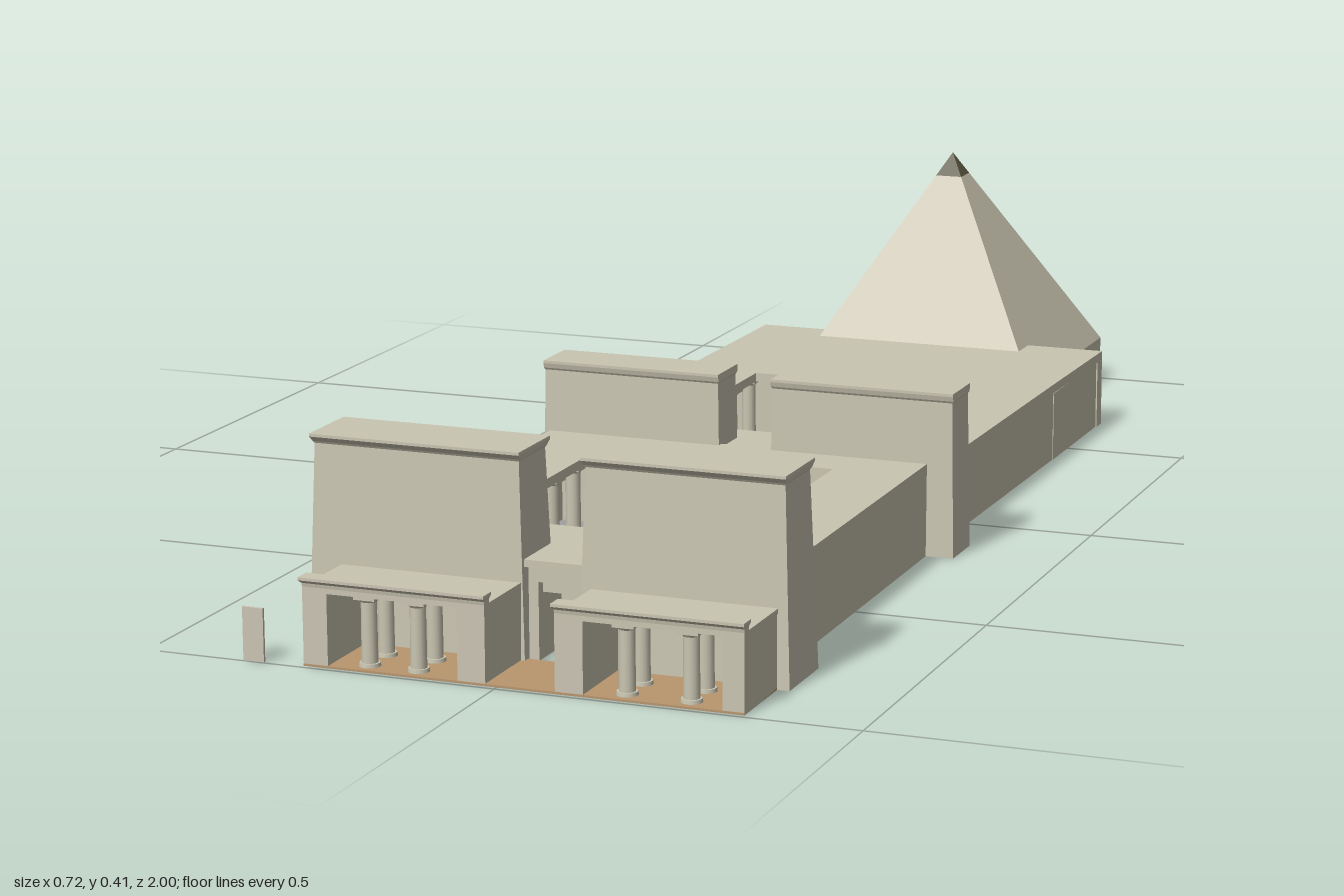
import * as THREE from 'three';

export function createModel() {
  const root = new THREE.Group();
  root.name = 'temple';
  const mat = (name, color) => {
    const m = new THREE.MeshStandardMaterial({ color });
    m.name = name;
    return m;
  };
  const stone = mat('paleStone', 0xcac5b2);
  const grey = mat('courtPaving', 0xa0a0a0);
  const sand = mat('sandPaving', 0xb9966f);
  const dark = mat('capstoneDark', 0x5c5843);

  const add = (name, geo, material = stone, parent = root) => {
    const mesh = new THREE.Mesh(geo, material);
    mesh.name = name;
    parent.add(mesh);
    return mesh;
  };
  const box = (name, x0, x1, y0, y1, z0, z1, material = stone, parent = root) =>
    add(name, new THREE.BoxGeometry(x1 - x0, y1 - y0, z1 - z0)
      .translate((x0 + x1) / 2, (y0 + y1) / 2, (z0 + z1) / 2), material, parent);

  // Flat-faced solid through rectangles [y, x0, x1, z0, z1], bottom to top
  const loft = (rects) => {
    const pos = [], idx = [];
    for (const [y, x0, x1, z0, z1] of rects) pos.push(x0, y, z1, x1, y, z1, x1, y, z0, x0, y, z0);
    for (let r = 0; r < rects.length - 1; r++) {
      for (let i = 0; i < 4; i++) {
        const a = r * 4 + i, b = r * 4 + (i + 1) % 4;
        idx.push(a, b, b + 4, a, b + 4, a + 4);
      }
    }
    const t = (rects.length - 1) * 4;
    idx.push(0, 2, 1, 0, 3, 2, t, t + 1, t + 2, t, t + 2, t + 3);
    const g = new THREE.BufferGeometry();
    g.setAttribute('position', new THREE.Float32BufferAttribute(pos, 3));
    g.setIndex(idx);
    const flat = g.toNonIndexed();
    flat.computeVertexNormals();
    return flat;
  };

  // Upright extrusion of a plan outline of [x, z] points with one hole
  const slab = (outline, hole, y0, y1) => {
    const v = (p) => p.map(([x, z]) => new THREE.Vector2(x, -z));
    const s = new THREE.Shape(v(outline));
    if (hole) s.holes.push(new THREE.Path(v(hole)));
    return new THREE.ExtrudeGeometry(s, { depth: y1 - y0, bevelEnabled: false })
      .rotateX(-Math.PI / 2).translate(0, y0, 0);
  };
  const rect = (x0, x1, z0, z1) => [[x0, z0], [x0, z1], [x1, z1], [x1, z0]];

  // Round column with foot disc, neck ring and square abacus
  const column = (name, x, z, h, parent) => {
    const g = new THREE.Group();
    g.name = name;
    g.position.set(x, 0, z);
    const cyl = (n, r0, r1, y0, y1) =>
      add(n, new THREE.CylinderGeometry(r1, r0, y1 - y0, 16).translate(0, (y0 + y1) / 2, 0), stone, g);
    cyl('foot', 0.015, 0.014, 0, 0.008);
    cyl('shaft', 0.011, 0.0105, 0.008, h - 0.008);
    cyl('neck', 0.011, 0.0145, h - 0.01, h - 0.005);
    box('abacus', -0.015, 0.015, h - 0.006, h, -0.015, 0.015, stone, g);
    parent.add(g);
  };

  // Battered tower with flared cornice
  const pylon = (name, x0, x1, z0, z1, h, b) => add(name, loft([
    [0, x0, x1, z0, z1],
    [h - 0.014, x0 + b, x1 - b, z0 + b, z1 - b],
    [h - 0.011, x0 + b - 0.002, x1 - b + 0.002, z0 + b - 0.002, z1 - b + 0.002],
    [h - 0.004, x0 + b * 0.6, x1 - b * 0.6, z0, z1],
    [h, x0 + b * 0.6, x1 - b * 0.6, z0, z1],
  ]));
  pylon('frontPylonRight', -0.322, -0.01, 0.777, 0.88, 0.282, 0.009);
  pylon('frontPylonLeft', 0.064, 0.357, 0.768, 0.876, 0.282, 0.009);
  pylon('middlePylonRight', -0.283, -0.004, 0.115, 0.193, 0.24, 0.004);
  pylon('middlePylonLeft', 0.072, 0.352, 0.115, 0.193, 0.24, 0.004);

  // Gateways between the towers
  const gate = (name, x0, x1, z0, z1, h) => {
    const g = new THREE.Group();
    g.name = name;
    root.add(g);
    box('jambRight', x0, x0 + 0.014, 0, h - 0.03, z0, z1, stone, g);
    box('jambLeft', x1 - 0.014, x1, 0, h - 0.03, z0, z1, stone, g);
    box('lintel', x0, x1, h - 0.03, h - 0.01, z0, z1, stone, g);
    box('cornice', x0 - 0.004, x1 + 0.004, h - 0.01, h, z0 - 0.005, z1 + 0.005, stone, g);
    box('doorHead', x0 + 0.01, x1 - 0.01, h - 0.047, h - 0.03, z0 + 0.015, z1 - 0.015, stone, g);
  };
  gate('frontGate', -0.01, 0.066, 0.79, 0.865, 0.137);
  gate('middleGate', -0.006, 0.074, 0.125, 0.183, 0.13);

  // Front portico: two halves with columns, roof and parapet
  for (const [side, x0, x1, o0, o1, c0, c1] of [
    ['Right', -0.275, -0.016, -0.24, -0.055, -0.19, -0.12],
    ['Left', 0.081, 0.34, 0.12, 0.31, 0.172, 0.26]]) {
    const p = new THREE.Group();
    p.name = 'portico' + side;
    root.add(p);
    box('pierOuter', x0, o0, 0, 0.1, 0.876, 0.992, stone, p);
    box('pierInner', o1, x1, 0, 0.1, 0.876, 0.992, stone, p);
    box('roof', x0, x1, 0.1, 0.107, 0.87, 0.992, stone, p);
    add('parapet', loft([
      [0.107, x0, x1, 0.977, 0.992],
      [0.112, x0, x1, 0.977, 0.993],
      [0.117, x0 - 0.002, x1 + 0.002, 0.975, 1],
      [0.121, x0 - 0.002, x1 + 0.002, 0.975, 1],
    ]), stone, p);
    for (const z of [0.97, 0.92]) for (const x of [c0, c1]) column('porticoColumn', x, z, 0.1, p);
  }
  box('porticoFloor', -0.275, 0.34, 0, 0.003, 0.87, 0.993, sand);

  // Small standing slab beside the entrance
  box('standingSlab', -0.36, -0.33, 0, 0.073, 0.994, 0.998);

  // Court halls: outer wall, roof with open court, paving and colonnade
  const hall = (name, outline, inner, court, h, nx, nz) => {
    const g = new THREE.Group();
    g.name = name;
    root.add(g);
    const [x0, x1, z0, z1] = court;
    add('outerWall', slab(outline, rect(...inner), 0, h - 0.014), stone, g);
    add('roof', slab(outline, rect(...court), h - 0.014, h), stone, g);
    box('paving', inner[0], inner[1], 0, 0.004, inner[2], inner[3], grey, g);
    const d = 0.02, top = h - 0.014;
    for (let i = 0; i < nz; i++) {
      const z = z0 - d + (z1 - z0 + 2 * d) * i / (nz - 1);
      column('courtColumn', x0 - d, z, top, g);
      column('courtColumn', x1 + d, z, top, g);
    }
    for (let i = 1; i < nx - 1; i++) {
      const x = x0 - d + (x1 - x0 + 2 * d) * i / (nx - 1);
      column('courtColumn', x, z0 - d, top, g);
      column('courtColumn', x, z1 + d, top, g);
    }
  };
  hall('frontHall', [[-0.272, 0.18], [-0.283, 0.79], [0.315, 0.79], [0.311, 0.18]],
    [-0.25, 0.288, 0.2, 0.755], [-0.16, 0.196, 0.265, 0.685], 0.135, 6, 7);
  hall('rearHall', [[-0.266, -0.42], [-0.272, 0.125], [0.31, 0.125], [0.314, -0.42]],
    [-0.245, 0.288, -0.395, 0.1], [-0.148, 0.192, -0.335, 0.03], 0.12, 6, 6);

  // Sanctuary behind the rear hall, with a side door and no floor
  const s = new THREE.Group();
  s.name = 'sanctuary';
  root.add(s);
  add('roof', slab([[-0.262, -0.68], [-0.266, -0.42], [0.314, -0.42], [0.317, -0.68]], null, 0.106, 0.12), stone, s);
  box('backWall', -0.262, 0.317, 0, 0.106, -0.68, -0.655, stone, s);
  box('leftWall', 0.285, 0.315, 0, 0.106, -0.655, -0.42, stone, s);
  box('rightWall', -0.264, -0.235, 0, 0.106, -0.57, -0.42, stone, s);
  box('threshold', -0.264, -0.235, 0, 0.006, -0.655, -0.57, stone, s);
  for (const x of [-0.1, 0.13]) box('partition', x, x + 0.015, 0, 0.106, -0.56, -0.42, stone, s);
  for (const x of [-0.17, -0.04, 0.08, 0.21]) column('sanctuaryColumn', x, -0.5, 0.106, s);

  // Pyramid with plinth, dark capstone and dark underside
  const px = 0.022, pz = -0.8;
  const at = (y, r) => [y, px - r, px + r, pz - r, pz + r];
  add('pyramid', loft([at(0.004, 0.2), at(0.07, 0.2), at(0.371, 0.0215)]));
  add('capstone', loft([at(0.371, 0.0215), at(0.407, 0.0002)]), dark);
  box('pyramidBase', px - 0.2, px + 0.2, 0, 0.004, pz - 0.2, pz + 0.2, dark);

  return root;
}
